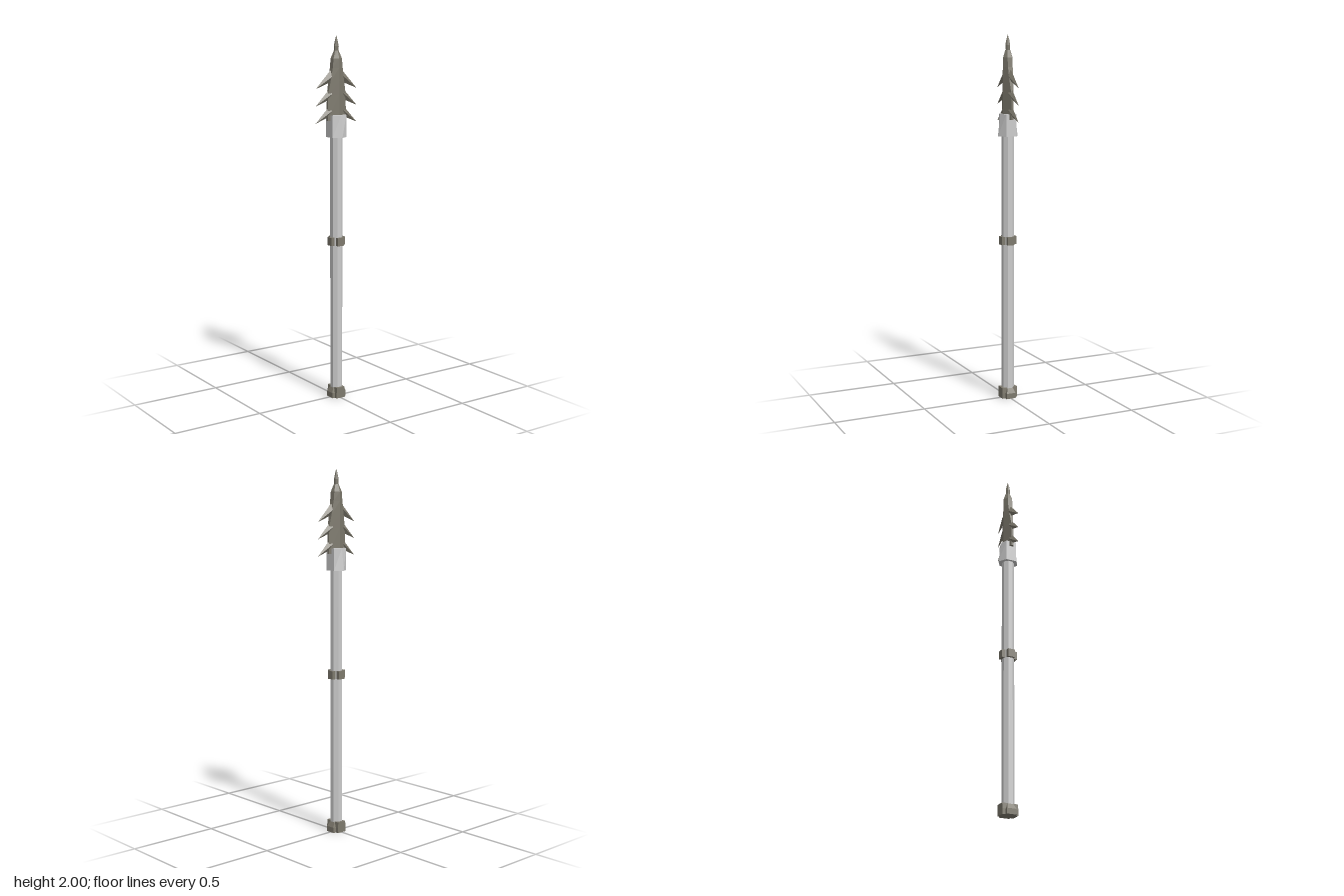
import * as THREE from 'three';
import { ConvexGeometry } from 'three/addons/geometries/ConvexGeometry.js';

const steel = new THREE.MeshStandardMaterial({ color: 0xcccccc, flatShading: true });
const dark = new THREE.MeshStandardMaterial({ color: 0x7d796d, flatShading: true });

// Six-sided cross-section: flat flanks at x = +-w, ridges at z = +-d
const hex = (w, c, d) => [[0, d], [w, c], [w, -c], [0, -d], [-w, -c], [-w, c]];
const rect = (w, d) => [[-w, d], [w, d], [w, -d], [-w, -d]];

// Skin over [height, cross-section] pairs, closed at both ends
function loft(sections) {
  const pos = [], idx = [];
  const n = sections[0][1].length, last = (sections.length - 1) * n;
  for (const [y, pts] of sections) for (const [x, z] of pts) pos.push(x, y, z);
  for (let s = 0; s < last; s += n) {
    for (let i = 0; i < n; i++) {
      const a = s + i, b = s + (i + 1) % n;
      idx.push(a, b, b + n, a, b + n, a + n);
    }
  }
  for (let i = 1; i < n - 1; i++) {
    idx.push(0, i + 1, i, last, last + i, last + i + 1);
  }
  const g = new THREE.BufferGeometry();
  g.setAttribute('position', new THREE.Float32BufferAttribute(pos, 3));
  g.setIndex(idx);
  g.computeVertexNormals();
  return g;
}

export function createModel() {
  const model = new THREE.Group();
  const add = (name, geometry, material) => {
    const mesh = new THREE.Mesh(geometry, material);
    mesh.name = name;
    model.add(mesh);
    return mesh;
  };

  // Octagonal shaft with flats facing the axes
  const shaft = new THREE.CylinderGeometry(0.034, 0.034, 1.46, 8);
  shaft.rotateY(Math.PI / 8).translate(0, 0.75, 0);
  add('shaft', shaft, steel);

  // Cross-shaped grip ring
  add('gripRingSide', new THREE.BoxGeometry(0.09, 0.045, 0.04).translate(0, 0.89, 0), dark);
  add('gripRingFront', new THREE.BoxGeometry(0.04, 0.045, 0.09).translate(0, 0.89, 0), dark);

  // Cross-shaped foot, its side arms tapering upward
  add('footSide', loft([
    [0, rect(0.045, 0.028)], [0.03, rect(0.045, 0.026)], [0.06, rect(0.03, 0.015)],
  ]), dark);
  add('footFront', loft([
    [0, rect(0.028, 0.045)], [0.03, rect(0.028, 0.045)], [0.06, rect(0.026, 0.045)],
  ]), dark);

  // Collar, deeper at its lower rim
  add('collar', loft([
    [1.46, hex(0.045, 0.03, 0.059)], [1.58, hex(0.045, 0.03, 0.045)],
  ]), steel);

  // Ridged blade
  add('blade', loft([
    [1.55, hex(0.059, 0.006, 0.029)],
    [1.69, hex(0.057, 0.006, 0.029)],
    [1.76, hex(0.044, 0.011, 0.029)],
    [1.83, hex(0.032, 0.014, 0.029)],
    [1.88, hex(0.027, 0.014, 0.028)],
    [1.92, hex(0.012, 0.006, 0.015)],
  ]), dark);

  // Small point on top of the blade
  add('bladeTip', loft([
    [1.91, hex(0.01, 0.006, 0.011)],
    [1.945, hex(0.012, 0.006, 0.014)],
    [1.97, hex(0.007, 0.004, 0.01)],
    [2.0, hex(0.001, 0.0005, 0.001)],
  ]), dark);

  // Three pairs of downswept barbs
  for (const side of [-1, 1]) {
    for (let i = 0; i < 3; i++) {
      const y = 1.72 - i * 0.091;
      const corners = [
        [0.03, 0.1, 0], [0.045, 0.09, 0], [0.04, 0.062, 0.016],
        [0.04, 0.062, -0.016], [0.036, 0.036, 0], [0.133, 0, 0],
      ];
      add(side > 0 ? 'leftBarb' : 'rightBarb', new ConvexGeometry(
        corners.map(([x, h, z]) => new THREE.Vector3(side * x, y + h, z))), dark);
    }
  }
  return model;
}
